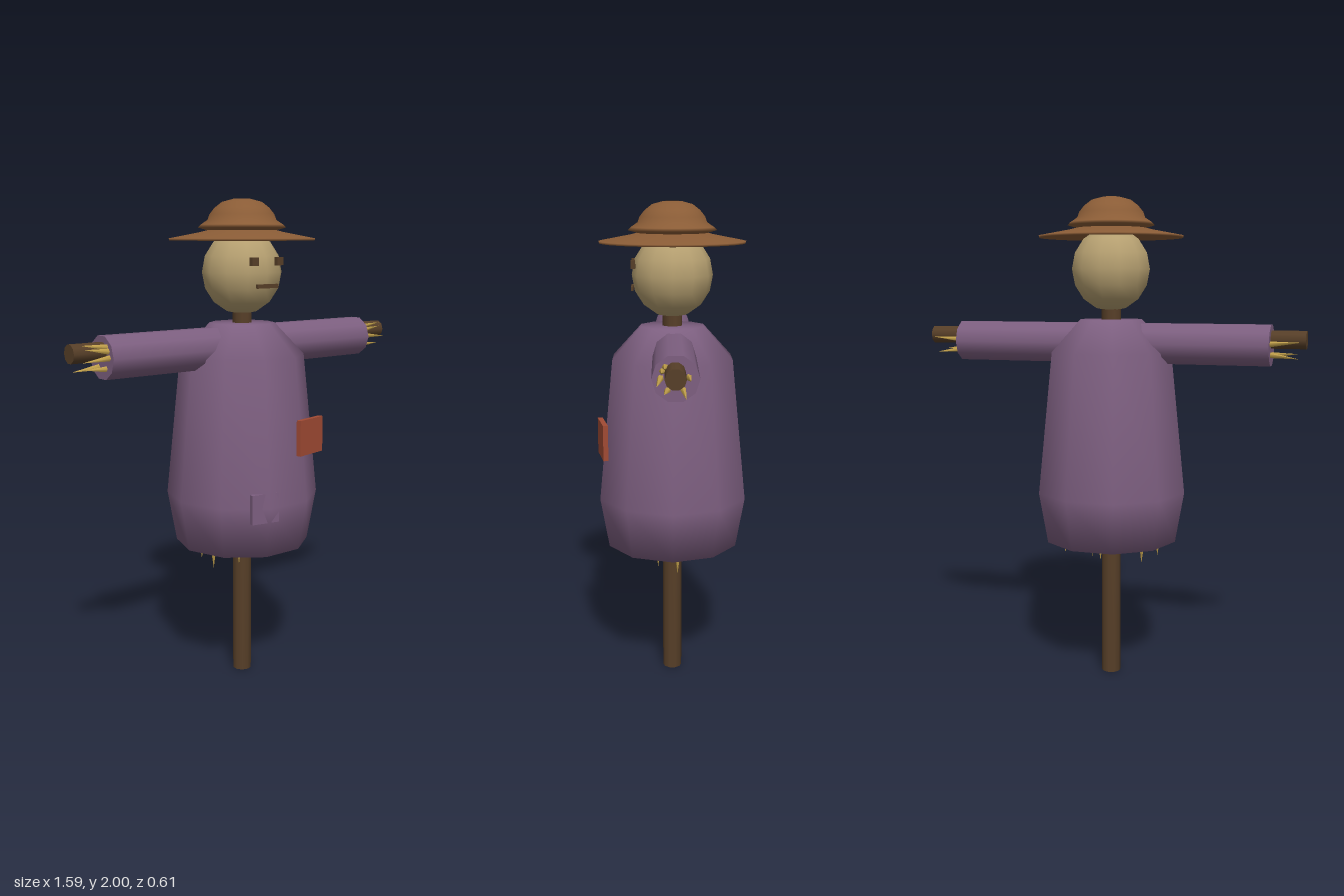
import * as THREE from 'three';
import { mergeVertices } from 'three/addons/utils/BufferGeometryUtils.js';

const mat = (name, color, side = THREE.FrontSide) => {
  const m = new THREE.MeshStandardMaterial({ color, side });
  m.name = name;
  return m;
};

// Weld a geometry so shading rolls softly over its rims
function soften(geometry) {
  geometry.deleteAttribute('normal');
  geometry.deleteAttribute('uv');
  const g = mergeVertices(geometry, 1e-4);
  g.computeVertexNormals();
  return g;
}

const lathe = (points, segments, start = 0) =>
  new THREE.LatheGeometry(points.map(([x, y]) => new THREE.Vector2(x, y)), segments, start);

export function createModel() {
  const model = new THREE.Group();
  model.name = 'scarecrow';

  const cloth = mat('purple cloth', 0x7d5f80);
  const wood = mat('dark wood', 0x573f28);
  const sack = mat('burlap', 0xb59f70);
  const felt = mat('brown felt', 0x8a5c36, THREE.DoubleSide);
  const straw = mat('straw', 0xc4a24c);
  const red = mat('red patch cloth', 0xa04a34);

  const add = (name, geometry, material, x = 0, y = 0, z = 0) => {
    const mesh = new THREE.Mesh(geometry, material);
    mesh.name = name;
    mesh.position.set(x, y, z);
    model.add(mesh);
    return mesh;
  };

  // Upright post, running up into the head
  add('post', soften(new THREE.CylinderGeometry(0.04, 0.04, 1.57, 10)), wood, 0, 0.785, 0);

  // Ten-sided smock, closed at top and hem
  add('smock', soften(lathe(
    [[0, 0.59], [0.278, 0.59], [0.315, 0.8], [0.255, 1.38], [0.133, 1.51], [0, 1.51]],
    10, Math.PI / 10)), cloth);

  // Sewn patches
  const patch = add('redPatch', new THREE.BoxGeometry(0.15, 0.145, 0.02), red, 0.125, 1.065, 0.282);
  patch.rotation.y = 0.2;
  const fold = add('clothPatch', new THREE.BoxGeometry(0.12, 0.12, 0.02), cloth, -0.105, 0.8, 0.275);
  fold.rotation.y = -0.2;

  // A tapered wisp of straw from one point to another
  const wisp = (from, to, radius) => {
    const a = new THREE.Vector3(...from), b = new THREE.Vector3(...to);
    const dir = b.clone().sub(a);
    const mesh = add('strawWisp', new THREE.ConeGeometry(radius, dir.length(), 5), straw);
    mesh.position.copy(a).add(b).multiplyScalar(0.5);
    mesh.quaternion.setFromUnitVectors(new THREE.Vector3(0, 1, 0), dir.normalize());
  };

  // Arms: sleeve, stick end and straw at the cuff
  for (const side of [-1, 1]) {
    const name = side > 0 ? 'left' : 'right';
    const sleeve = add(name + 'Sleeve', new THREE.CylinderGeometry(0.085, 0.085, 0.56, 10),
      cloth, side * 0.38, 1.415, -0.006);
    sleeve.rotation.z = Math.PI / 2;
    const stick = add(name + 'ArmStick', new THREE.CylinderGeometry(0.037, 0.037, 0.5, 10),
      wood, side * 0.547, 1.438, -0.004);
    stick.rotation.z = Math.PI / 2;
    [[1.375, 0.02, 1.38, 0.035], [1.38, -0.03, 1.365, -0.04], [1.42, 0.045, 1.41, 0.06],
      [1.44, 0.04, 1.455, 0.045], [1.455, 0.03, 1.47, 0.035], [1.42, -0.05, 1.43, -0.055]]
      .forEach(([y0, z0, y1, z1], i) =>
        wisp([side * 0.64, y0, z0], [side * (0.76 + 0.01 * (i % 3)), y1, z1], 0.014));
  }

  // Straw hanging below the hem
  for (const [x, z] of [[-0.19, 0.05], [-0.155, -0.08], [-0.08, 0.08], [0.07, -0.04],
    [0.12, 0.06], [0.2, -0.02], [0.02, -0.09]]) {
    wisp([x, 0.62, z], [x, 0.51, z], 0.016);
  }

  // Head and face
  const head = add('head', new THREE.SphereGeometry(0.163, 12, 8), sack, 0, 1.713, 0);
  head.scale.y = 1.04;
  for (const side of [-1, 1]) {
    add('eye', new THREE.BoxGeometry(0.032, 0.032, 0.018), wood, side * 0.063, 1.758, 0.156);
  }
  add('mouth', new THREE.BoxGeometry(0.105, 0.016, 0.01), wood, 0, 1.662, 0.16);

  // Hat: thin sloping brim and a crown with a small open top
  add('hatBrim', lathe(
    [[0.13, 1.86], [0.292, 1.838], [0.294, 1.846], [0.17, 1.87], [0.13, 1.88]], 32), felt);
  add('hatCrown', lathe(
    [[0.13, 1.875], [0.177, 1.888], [0.165, 1.9], [0.138, 1.918], [0.13, 1.94],
      [0.11, 1.965], [0.08, 1.988], [0.035, 2.0]], 32), felt);

  return model;
}
